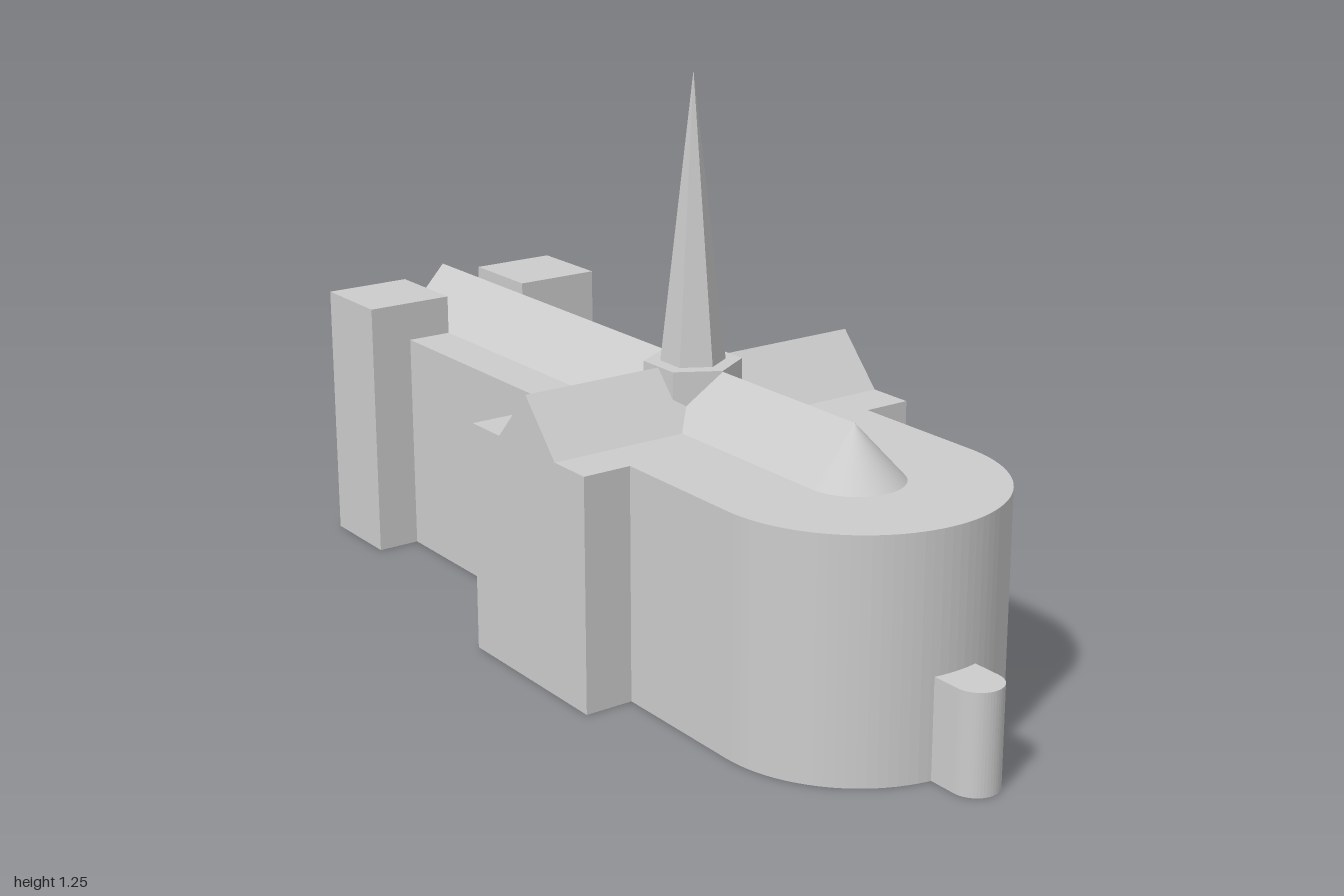
import * as THREE from 'three';

const EAVES = 0.51, RIDGE = 0.625, ROOF_HALF = 0.105, CROSSING_Z = 0.05;

export function createModel() {
  const model = new THREE.Group();
  const smooth = new THREE.MeshStandardMaterial({ color: 0xcccccc });
  const flat = new THREE.MeshStandardMaterial({ color: 0xcccccc, flatShading: true });

  const add = (name, geometry, x = 0, y = 0, z = 0, material = flat) => {
    const mesh = new THREE.Mesh(geometry, material);
    mesh.name = name;
    mesh.position.set(x, y, z);
    model.add(mesh);
    return mesh;
  };

  // Ground plan raised to a height; the plan's y axis is -z
  const raise = (shape, height, curveSegments) =>
    new THREE.ExtrudeGeometry(shape, { depth: height, bevelEnabled: false, curveSegments })
      .rotateX(-Math.PI / 2);

  // Cross-shaped body with a west front and a rounded apse
  const plan = new THREE.Shape();
  plan.moveTo(-0.31, -0.58);
  plan.absarc(0, -0.58, 0.31, Math.PI, Math.PI * 2, false);
  const side = [[0.31, -0.26], [0.42, -0.26], [0.42, 0.16], [0.21, 0.16],
    [0.21, 0.795], [0.31, 0.795], [0.31, 1]];
  side.forEach(([x, y]) => plan.lineTo(x, y));
  [...side].reverse().forEach(([x, y]) => plan.lineTo(-x, y));
  plan.closePath();
  add('body', raise(plan, EAVES, 24));

  // Small round-ended chapel beyond the apse
  const chapel = new THREE.Shape();
  chapel.moveTo(-0.052, -0.86);
  chapel.lineTo(-0.052, -0.948);
  chapel.absarc(0, -0.948, 0.052, Math.PI, Math.PI * 2, false);
  chapel.lineTo(0.052, -0.86);
  chapel.closePath();
  add('chapel', raise(chapel, 0.215, 12));

  // Tower tops on either side of the gable
  for (const s of [-1, 1]) {
    add(s > 0 ? 'leftTower' : 'rightTower', new THREE.BoxGeometry(0.205, 0.09, 0.205),
      s * 0.2075, EAVES + 0.045, -0.8975);
  }

  // Gabled roofs
  const gable = new THREE.Shape();
  gable.moveTo(-ROOF_HALF, 0);
  gable.lineTo(ROOF_HALF, 0);
  gable.lineTo(0, RIDGE - EAVES);
  gable.closePath();
  const roof = length => new THREE.ExtrudeGeometry(gable, { depth: length, bevelEnabled: false });
  add('naveRoof', roof(1.575), 0, EAVES, -0.995);
  add('transeptRoof', roof(0.84).rotateY(Math.PI / 2), -0.42, EAVES, CROSSING_Z);

  // Half cone closing the roof above the apse
  add('apseRoof', new THREE.ConeGeometry(ROOF_HALF, RIDGE - EAVES, 24, 1, true, -Math.PI / 2, Math.PI),
    0, (RIDGE + EAVES) / 2, 0.58, smooth);

  // Hexagonal collar and spire over the crossing
  add('spireCollar', new THREE.CylinderGeometry(0.105, 0.105, 0.117, 6), 0, EAVES + 0.0585, CROSSING_Z);
  add('spire', new THREE.ConeGeometry(0.07, 0.62, 6), 0, RIDGE + 0.31, CROSSING_Z);

  return model;
}
